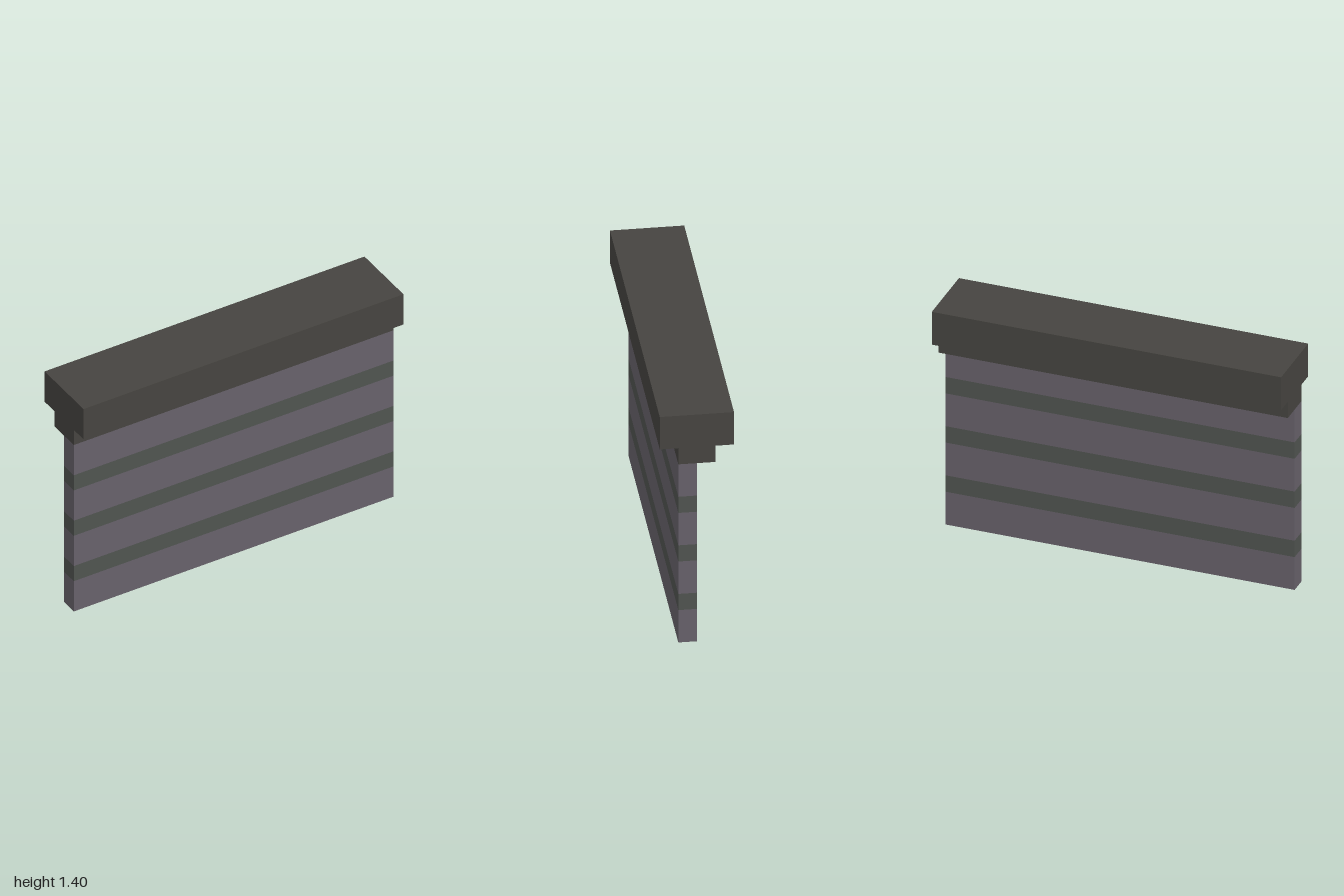
import * as THREE from 'three';

const PANEL = 0x67616a, STRIPE = 0x505450, CAP = 0x464440;
const WIDTH = 2;

// Full-width bar between two heights and two depths
function bar(name, color, y0, y1, z0, z1) {
  const mesh = new THREE.Mesh(
    new THREE.BoxGeometry(WIDTH, y1 - y0, z1 - z0),
    new THREE.MeshStandardMaterial({ color })
  );
  mesh.name = name;
  mesh.position.set(0, (y0 + y1) / 2, (z0 + z1) / 2);
  return mesh;
}

export function createModel() {
  const model = new THREE.Group();
  model.name = 'wallPanel';

  // Thin panel: plain bands alternating with dark stripes, flush with each other
  const panel = new THREE.Group();
  panel.name = 'panel';
  const levels = [0, 0.2, 0.3, 0.5, 0.6, 0.8, 0.9, 1.1];
  for (let i = 0; i < levels.length - 1; i++) {
    const striped = i % 2 === 1;
    panel.add(bar(striped ? 'stripe' : 'panelBand', striped ? STRIPE : PANEL,
      levels[i], levels[i + 1], 0, 0.1));
  }
  model.add(panel);

  // Stepped top: narrow ledge under a wide cap
  model.add(bar('ledge', CAP, 1.1, 1.2, -0.1, 0.1));
  model.add(bar('cap', CAP, 1.2, 1.4, -0.2, 0.2));
  return model;
}
